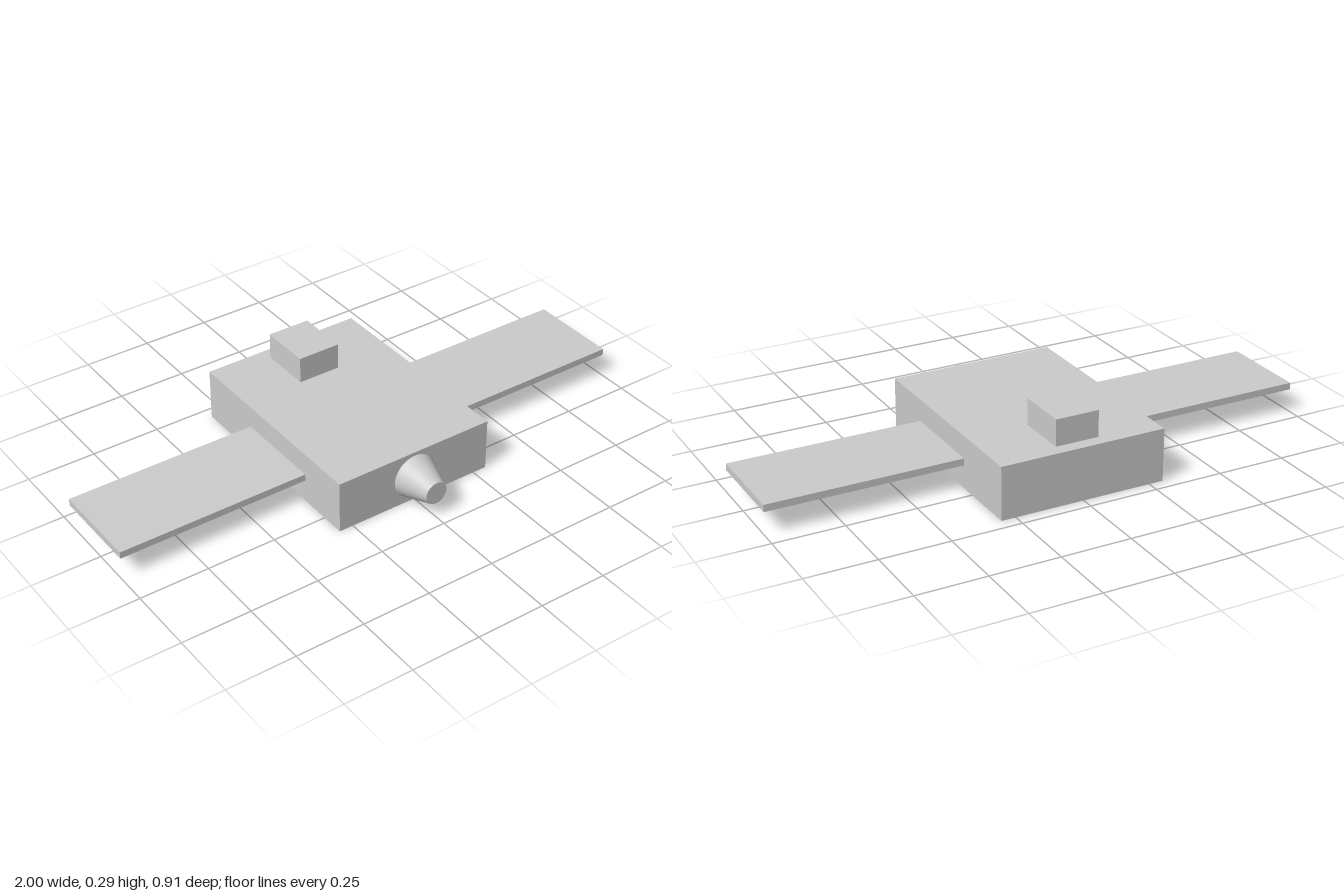
import * as THREE from 'three';

export function createModel() {
  const group = new THREE.Group();
  const material = new THREE.MeshStandardMaterial({ color: 0xcccccc });

  function add(name, geometry, x, y, z) {
    const mesh = new THREE.Mesh(geometry, material);
    mesh.name = name;
    mesh.position.set(x, y, z);
    group.add(mesh);
    return mesh;
  }

  // Flat rectangular hull standing on the ground
  add('body', new THREE.BoxGeometry(0.604, 0.191, 0.792), 0, 0.0955, -0.059);

  // Small block on the rear of the roof
  add('topBlock', new THREE.BoxGeometry(0.158, 0.096, 0.19), 0, 0.239, -0.313);

  // Thin side panels, mirrored
  for (const [name, side] of [['leftPanel', 1], ['rightPanel', -1]]) {
    add(name, new THREE.BoxGeometry(0.698, 0.025, 0.333), side * 0.651, 0.097, -0.028);
  }

  // Tapered nozzle, narrow end forward
  const nozzle = add('nozzle', new THREE.CylinderGeometry(0.041, 0.081, 0.119, 48), 0, 0.097, 0.3965);
  nozzle.rotation.x = Math.PI / 2;

  return group;
}
